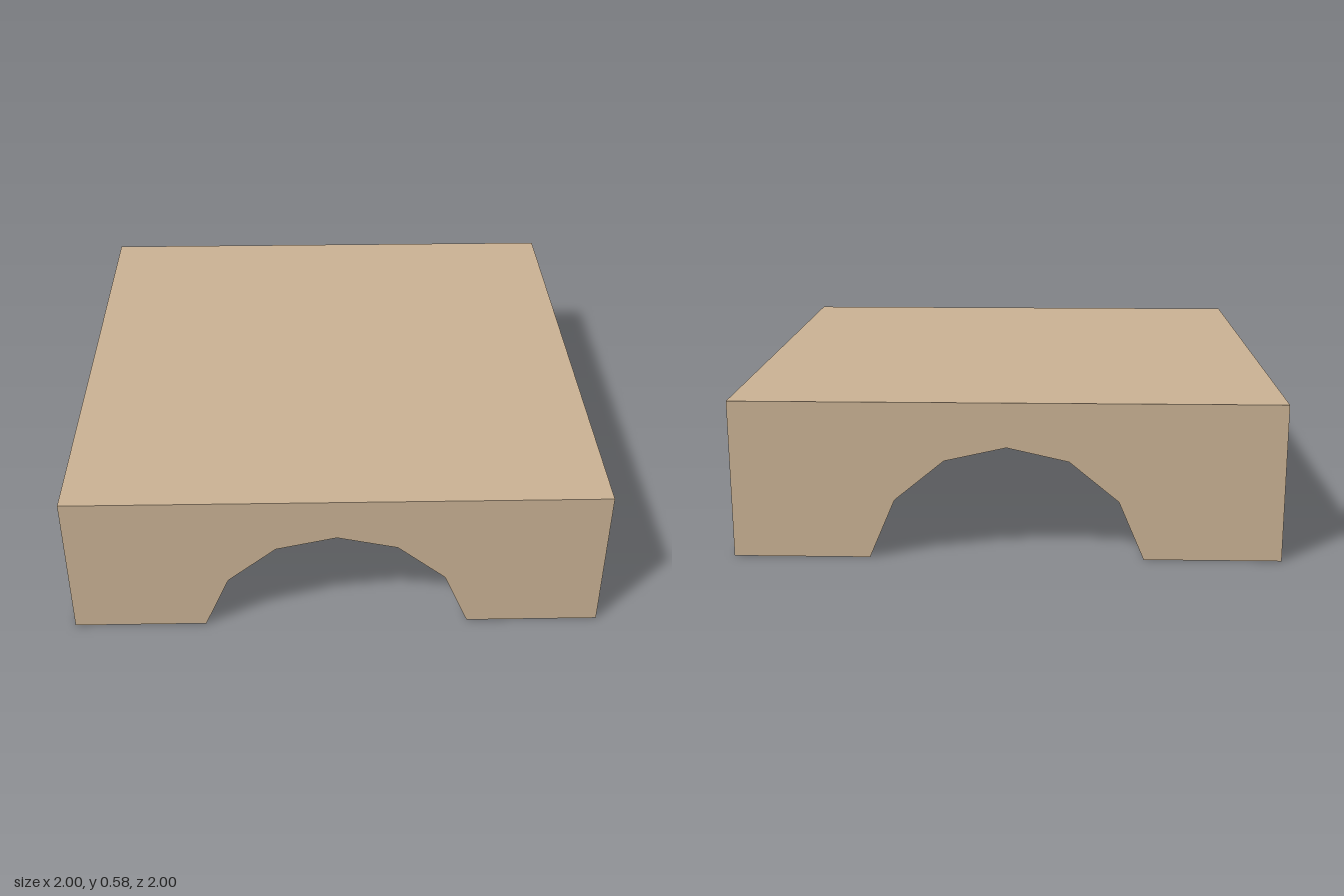
import * as THREE from 'three';

const HEIGHT = 0.585;
// Arch profile from the +x foot over the crown to the -x foot
const HALF_ARCH = [[0.5, 0], [0.406, 0.22], [0.225, 0.369]];
const ARCH = [...HALF_ARCH, [0, 0.42], ...HALF_ARCH.map(([x, y]) => [-x, y]).reverse()];

export function createModel() {
  const group = new THREE.Group();
  const sandstone = new THREE.MeshStandardMaterial({ color: 0xc8b092, side: THREE.DoubleSide });
  sandstone.name = 'sandstone';

  const add = (name, geometry) => {
    const mesh = new THREE.Mesh(geometry, sandstone);
    mesh.name = name;
    group.add(mesh);
    return mesh;
  };

  // Flat deck
  const deck = add('deck', new THREE.PlaneGeometry(2, 2).rotateX(-Math.PI / 2));
  deck.position.y = HEIGHT;

  // End walls with the arch cut out
  const outline = new THREE.Shape(
    [[-1, 0], ...[...ARCH].reverse(), [1, 0], [1, HEIGHT], [-1, HEIGHT]]
      .map(([x, y]) => new THREE.Vector2(x, y)));
  for (const side of [1, -1]) {
    const wall = add(side > 0 ? 'frontWall' : 'backWall', new THREE.ShapeGeometry(outline));
    wall.position.z = side;
    if (side < 0) wall.rotation.y = Math.PI;
  }

  // Plain side walls
  for (const side of [1, -1]) {
    const wall = add(side > 0 ? 'leftWall' : 'rightWall', new THREE.PlaneGeometry(2, HEIGHT));
    wall.position.set(side, HEIGHT / 2, 0);
    wall.rotation.y = side * Math.PI / 2;
  }

  // Smooth tunnel vault, facing into the opening; the underside stays open beside it
  const vertices = ARCH.flatMap(([x, y]) => [x, y, 1, x, y, -1]);
  const faces = [];
  for (let i = 0; i < ARCH.length - 1; i++) {
    const a = i * 2;
    faces.push(a, a + 1, a + 2, a + 1, a + 3, a + 2);
  }
  const vault = new THREE.BufferGeometry();
  vault.setAttribute('position', new THREE.Float32BufferAttribute(vertices, 3));
  vault.setIndex(faces);
  vault.computeVertexNormals();
  add('tunnelVault', vault);

  return group;
}
